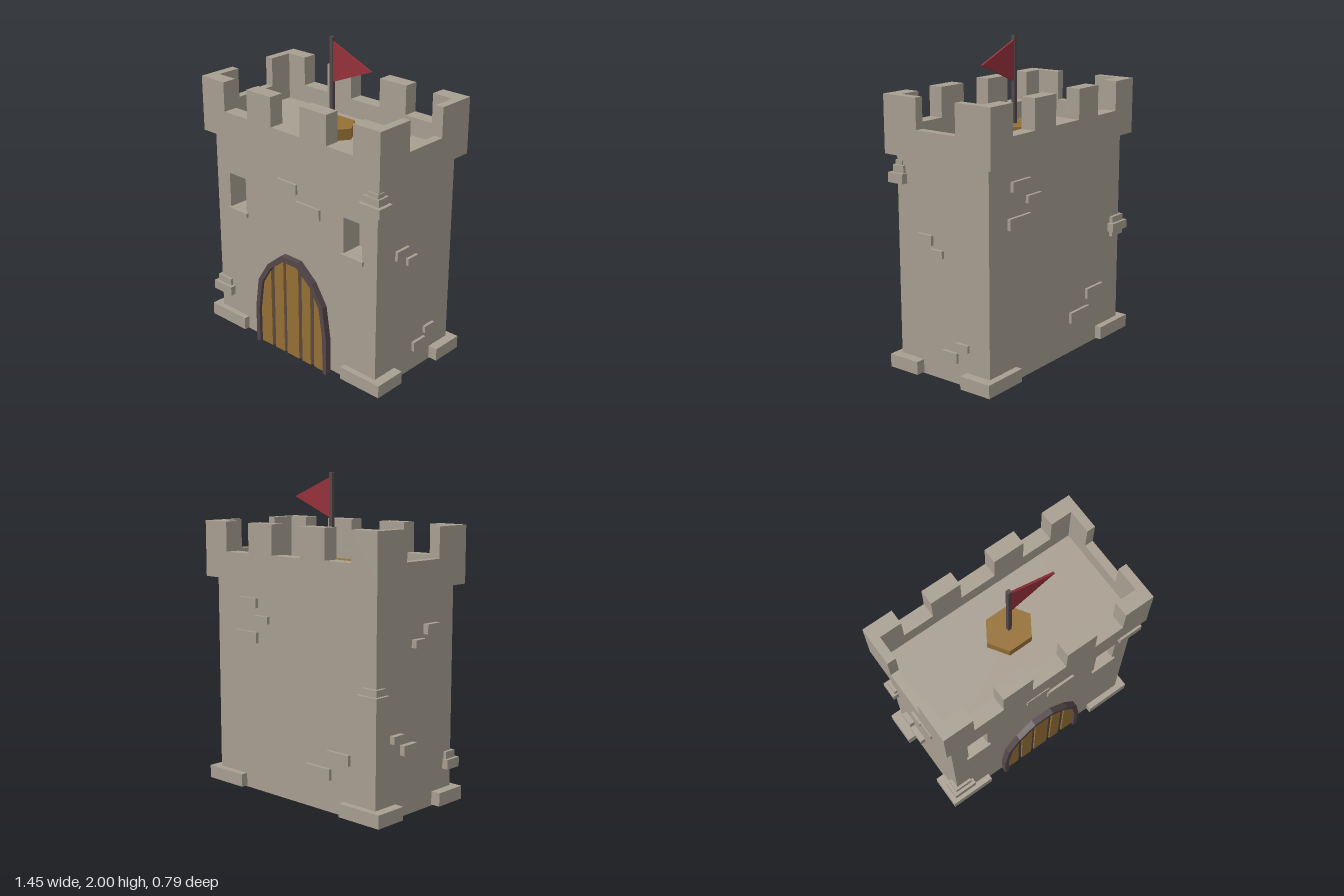
import * as THREE from 'three';

const mat = (name, color) => {
  const m = new THREE.MeshStandardMaterial({ color });
  m.name = name;
  return m;
};

export function createModel() {
  const stone = mat('stone', 0xa89f91);
  const wood = mat('wood', 0x967035);
  const iron = mat('darkTimber', 0x54474a);
  const red = mat('flagRed', 0x96303a);
  const model = new THREE.Group();
  model.name = 'castleTower';

  const add = (name, geo, material, parent = model) => {
    const mesh = new THREE.Mesh(geo, material);
    mesh.name = name;
    parent.add(mesh);
    return mesh;
  };
  const group = (name) => {
    const g = new THREE.Group();
    g.name = name;
    model.add(g);
    return g;
  };
  // Box given by its limits on each axis
  const box = (name, x0, x1, y0, y1, z0, z1, material = stone, parent = model) => {
    const geo = new THREE.BoxGeometry(x1 - x0, y1 - y0, z1 - z0);
    geo.translate((x0 + x1) / 2, (y0 + y1) / 2, (z0 + z1) / 2);
    return add(name, geo, material, parent);
  };
  const shapeOf = (pts) => new THREE.Shape(pts.map(([x, y]) => new THREE.Vector2(x, y)));
  const extrude = (shape, z0, z1) =>
    new THREE.ExtrudeGeometry(shape, { depth: z1 - z0, bevelEnabled: false }).translate(0, 0, z0);

  // Tower body, with window recesses cut into the front layer
  const body = group('towerBody');
  box('mainWalls', -0.665, 0.665, 0.022, 1.36, -0.34, 0.205, stone, body);
  const front = shapeOf([[-0.665, 0.022], [0.665, 0.022], [0.665, 1.36], [-0.665, 1.36]]);
  for (const s of [-1, 1]) {
    const x0 = s * 0.48 - 0.072, x1 = s * 0.48 + 0.072;
    front.holes.push(new THREE.Path([[x0, 0.86], [x0, 1.09], [x1, 1.09], [x1, 0.86]]
      .map(([x, y]) => new THREE.Vector2(x, y))));
    box('windowSill', s * 0.48 - 0.086, s * 0.48 + 0.086, 0.832, 0.86, 0.335, 0.36);
  }
  add('frontWall', extrude(front, 0.205, 0.345), stone, body);

  // Battlements: roof slab and four notched parapets
  const battlements = group('battlements');
  box('roofSlab', -0.715, 0.715, 1.35, 1.4, -0.395, 0.395, stone, battlements);
  const crenels = (half, notches) => {
    const pts = [[-half, 1.4], [half, 1.4], [half, 1.7]];
    for (const [a, b] of notches) pts.push([b, 1.7], [b, 1.515], [a, 1.515], [a, 1.7]);
    pts.push([-half, 1.7]);
    return shapeOf(pts);
  };
  const longSide = crenels(0.715, [[0.32, 0.52], [-0.12, 0.115], [-0.52, -0.32]]);
  const shortSide = crenels(0.3, [[-0.145, 0.145]]);
  add('frontParapet', extrude(longSide, 0.3, 0.395), stone, battlements);
  add('backParapet', extrude(longSide, -0.395, -0.3), stone, battlements);
  add('leftParapet', extrude(shortSide, 0.66, 0.715).rotateY(Math.PI / 2), stone, battlements);
  add('rightParapet', extrude(shortSide, -0.715, -0.66).rotateY(Math.PI / 2), stone, battlements);

  // Corner foundation blocks
  for (const sx of [-1, 1]) for (const sz of [-1, 1]) {
    const b = box('foundationBlock', -0.153, 0.153, 0.028, 0.11, -0.108, 0.108);
    b.position.set(sx * 0.573, 0, sz * 0.276);
  }

  // Stacked corner stones
  const corner = [
    [0.55, 0.708, 1.18, 1.24, 0.27, 0.382],
    [0.565, 0.685, 1.24, 1.285, 0.28, 0.362],
    [0.6, 0.672, 1.285, 1.312, 0.3, 0.354],
    [-0.705, -0.545, 0.23, 0.29, 0.27, 0.382],
    [-0.685, -0.565, 0.29, 0.335, 0.28, 0.362],
    [-0.685, -0.565, 0.685, 0.72, -0.362, -0.28],
    [-0.705, -0.545, 0.72, 0.775, -0.382, -0.27],
    [-0.685, -0.565, 0.775, 0.815, -0.362, -0.28],
  ];
  for (const c of corner) box('cornerStone', ...c);

  // Raised bricks on each wall: [from, to, bottom, top]
  for (const [a, b, y0, y1] of [[-0.12, 0.04, 1.12, 1.185], [0.035, 0.228, 1.01, 1.08]])
    box('frontBrick', a, b, y0, y1, 0.33, 0.36);
  for (const [a, b, y0, y1] of [[0.3, 0.47, 1.18, 1.24], [0.2, 0.33, 1.09, 1.135], [0.3, 0.5, 0.962, 1.03],
    [-0.47, -0.295, 0.335, 0.4], [-0.32, -0.12, 0.22, 0.288]])
    box('backBrick', a, b, y0, y1, -0.36, -0.33);
  for (const [a, b, y0, y1] of [[0.075, 0.185, 0.84, 0.9], [-0.005, 0.085, 0.775, 0.82],
    [-0.19, -0.1, 0.24, 0.285], [-0.105, 0.005, 0.155, 0.217]])
    box('leftBrick', 0.65, 0.684, y0, y1, a, b);
  for (const [a, b, y0, y1] of [[0.07, 0.18, 1.08, 1.14], [-0.035, 0.055, 1.012, 1.06],
    [-0.22, -0.13, 0.48, 0.527], [-0.13, -0.015, 0.395, 0.456]])
    box('rightBrick', -0.7, -0.65, y0, y1, a, b);

  // Arched door: frame, dark backing and planks trimmed to the arch
  const door = group('door');
  const mirror = (half) => [...half, ...half.map(([x, y]) => [-x, y]).reverse()];
  const outer = [[0.305, 0], [0.305, 0.25], [0.275, 0.455], [0.19, 0.59], [0.07, 0.69]];
  const inner = [[0.275, 0], [0.275, 0.24], [0.245, 0.44], [0.168, 0.565], [0.06, 0.653]];
  add('doorFrame', extrude(shapeOf([...mirror(outer), ...mirror(inner).reverse()]), 0.335, 0.385), iron, door);
  add('doorBacking', extrude(shapeOf(mirror(inner)), 0.33, 0.352), iron, door);
  const arch = inner.slice(1);
  const archTop = (x) => {
    const ax = Math.abs(x);
    for (let i = 0; i < arch.length - 1; i++) {
      const [x0, y0] = arch[i], [x1, y1] = arch[i + 1];
      if (ax >= x1) return y0 + (y1 - y0) * (x0 - ax) / (x0 - x1);
    }
    return arch[arch.length - 1][1];
  };
  for (const [a, b] of [[-0.275, -0.182], [-0.152, -0.072], [-0.048, 0.056], [0.084, 0.156], [0.186, 0.275]]) {
    const knots = arch.flatMap(([x]) => [x, -x]).filter((x) => x > a && x < b);
    const top = [b, ...knots.sort((p, q) => q - p), a].map((x) => [x, archTop(x)]);
    add('doorPlank', extrude(shapeOf([[a, 0], [b, 0], ...top]), 0.325, 0.364), wood, door);
  }

  // Flag on a six-sided wooden base
  const flag = group('flag');
  const base = new THREE.CylinderGeometry(0.155, 0.155, 0.07, 6).toNonIndexed();
  base.rotateY(Math.PI / 2).scale(1, 1, 0.89).translate(0, 1.435, 0);
  base.computeVertexNormals();
  add('flagBase', base, wood, flag);
  box('flagPole', -0.012, 0.012, 1.4, 2, -0.012, 0.012, iron, flag);
  add('pennant', extrude(shapeOf([[0.01, 1.728], [0.307, 1.85], [0.01, 1.972]]), -0.007, 0.007), red, flag);

  return model;
}
